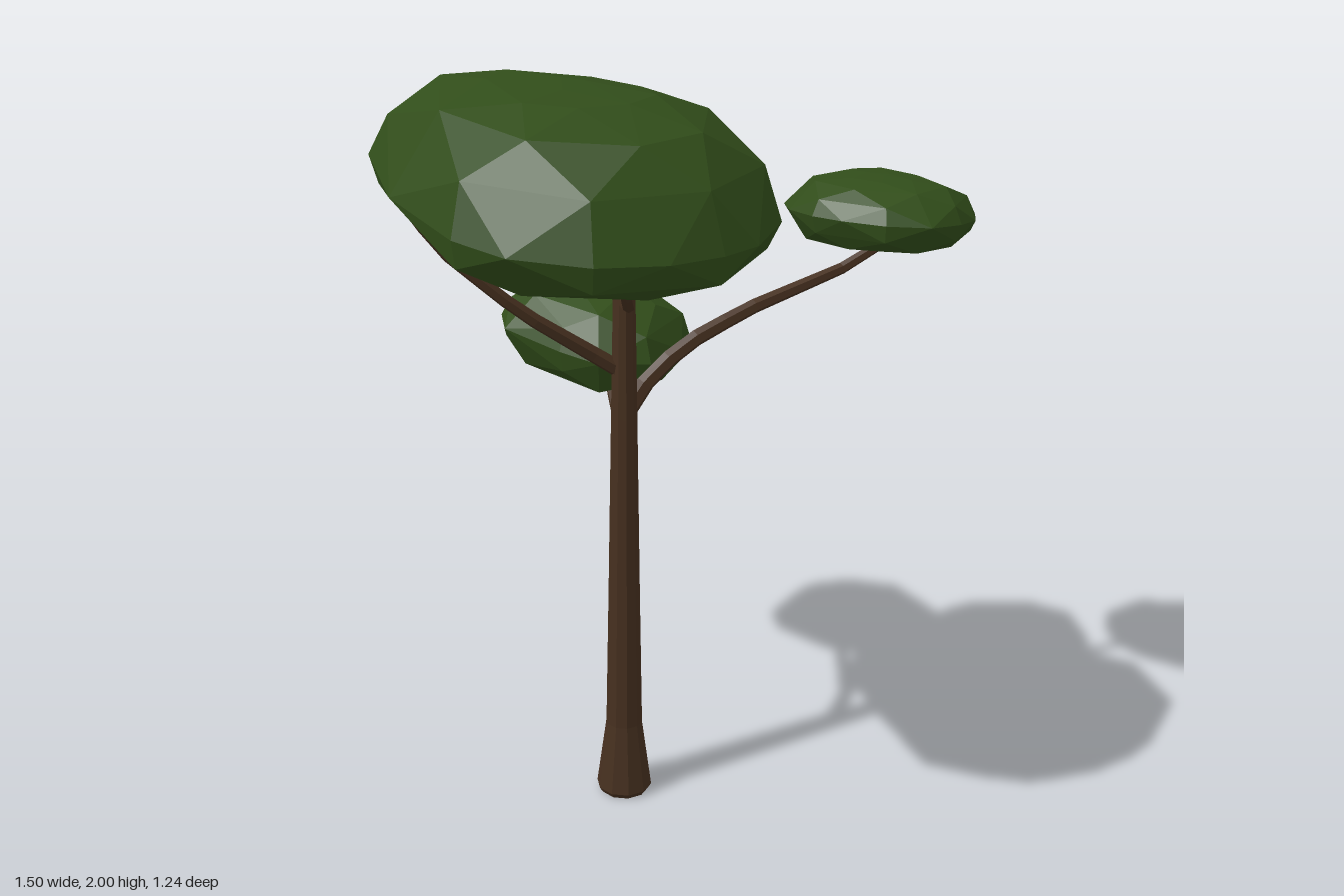
import * as THREE from 'three';
import { ConvexGeometry } from 'three/addons/geometries/ConvexGeometry.js';

const bark = new THREE.MeshStandardMaterial({ color: 0x46301f, flatShading: true });
const leaf = new THREE.MeshStandardMaterial({ color: 0x314d1a, flatShading: true });

// Small seeded generator for irregular facets
function seeded(seed) {
  return () => (seed = (seed * 16807) % 2147483647) / 2147483647;
}

// Faceted leaf mass: rings of the plan outline, shrunk and stacked on a tilted plane
function canopy(name, { outline, center, y, slope, top, bottom, seed }) {
  const rand = seeded(seed);
  const [cx, cz] = center;
  const rings = [ // scale of outline, height as share of top (+) or bottom (-)
    [1, 0], [0.92, 0.47], [0.7, 0.8], [0.4, 0.96], [0.12, 1],
    [0.96, -0.5], [0.78, -0.87], [0.42, -1],
  ];
  const points = [];
  rings.forEach(([s, h], r) => {
    const tilt = 1 - 0.5 * Math.max(h, 0); // the crown levels out towards its top
    outline.forEach(([x, z], i) => {
      if (r > 0 && (i + r) % 2) return; // inner rings use every other corner
      const k = r === 0 ? 1 : s * (0.97 + 0.05 * rand());
      const dx = (x - cx) * k, dz = (z - cz) * k;
      const lift = h * (h > 0 ? top : bottom) * (0.97 + 0.04 * rand());
      points.push(new THREE.Vector3(
        cx + dx, y + tilt * (slope[0] * dx + slope[1] * dz) + lift, cz + dz));
    });
  });
  const mesh = new THREE.Mesh(new ConvexGeometry(points), leaf);
  mesh.name = name;
  return mesh;
}

// Tapered branch: a tube whose rings shrink towards the tip
function branch(name, path, r0, r1) {
  const curve = new THREE.CatmullRomCurve3(path.map((p) => new THREE.Vector3(...p)), false, 'catmullrom', 0.05);
  const steps = (path.length - 1) * 2, sides = 6;
  const geo = new THREE.TubeGeometry(curve, steps, 1, sides);
  const pos = geo.attributes.position, v = new THREE.Vector3();
  for (let i = 0; i < pos.count; i++) {
    const t = Math.floor(i / (sides + 1)) / steps;
    const c = curve.getPointAt(t);
    v.fromBufferAttribute(pos, i).sub(c).multiplyScalar(r0 + (r1 - r0) * t).add(c);
    pos.setXYZ(i, v.x, v.y, v.z);
  }
  geo.computeVertexNormals();
  const mesh = new THREE.Mesh(geo, bark);
  mesh.name = name;
  return mesh;
}

export function createModel() {
  const tree = new THREE.Group();
  tree.name = 'tree';

  // Trunk with flared foot
  const profile = [[0, 0], [0.066, 0], [0.075, 0.015], [0.049, 0.21], [0.042, 0.6],
    [0.034, 1.1], [0.028, 1.45], [0.024, 1.7], [0, 1.72]];
  const trunk = new THREE.Mesh(
    new THREE.LatheGeometry(profile.map(([r, h]) => new THREE.Vector2(r, h)), 10), bark);
  trunk.position.set(-0.071, 0, 0.066);
  trunk.name = 'trunk';
  tree.add(trunk);

  // Branches
  tree.add(
    branch('lowerBackBranch', [[-0.07, 0.84, 0.065], [-0.03, 0.875, 0.03], [0.05, 0.91, -0.03],
      [0.19, 0.98, -0.23], [0.3, 1.06, -0.38]], 0.022, 0.011),
    branch('frontBranch', [[-0.06, 1.11, 0.065], [-0.01, 1.19, 0.09], [0.08, 1.27, 0.13],
      [0.25, 1.345, 0.2], [0.5, 1.42, 0.3], [0.64, 1.5, 0.37]], 0.025, 0.013),
    branch('upperBackBranch', [[-0.07, 1.22, 0.06], [-0.12, 1.26, 0.03], [-0.3, 1.4, -0.06],
      [-0.46, 1.57, -0.17], [-0.53, 1.7, -0.23]], 0.023, 0.012),
    branch('upperFrontBranch', [[-0.07, 1.42, 0.065], [-0.11, 1.43, 0.1], [-0.19, 1.45, 0.2],
      [-0.31, 1.58, 0.29], [-0.35, 1.66, 0.31]], 0.018, 0.012),
  );

  // Leaf masses
  tree.add(
    canopy('largeCanopy', {
      outline: [[-0.41, -0.39], [-0.34, -0.36], [-0.2, -0.21], [-0.01, 0], [0.05, 0.17], [0.08, 0.31],
        [0.05, 0.4], [-0.04, 0.54], [-0.2, 0.61], [-0.31, 0.61], [-0.45, 0.58], [-0.6, 0.5],
        [-0.72, 0.36], [-0.75, 0.22], [-0.7, -0.05], [-0.56, -0.3]],
      center: [-0.32, 0.14], y: 1.745, slope: [0.01, -0.13], top: 0.25, bottom: 0.135, seed: 11,
    }),
    canopy('middleCanopy', {
      outline: [[0.08, -0.3], [0.18, -0.27], [0.33, -0.13], [0.35, 0], [0.28, 0.14], [0.13, 0.245],
        [0.05, 0.25], [-0.06, 0.2], [-0.15, 0.08], [-0.18, -0.1], [-0.12, -0.22], [-0.03, -0.28]],
      center: [0.08, -0.03], y: 1.635, slope: [0.05, -0.09], top: 0.125, bottom: 0.108, seed: 23,
    }),
    canopy('frontCanopy', {
      outline: [[0.43, 0.155], [0.54, 0.12], [0.68, 0.15], [0.75, 0.24], [0.75, 0.36], [0.735, 0.54],
        [0.65, 0.6], [0.56, 0.62], [0.45, 0.61], [0.37, 0.53], [0.335, 0.42], [0.33, 0.33], [0.36, 0.23]],
      center: [0.54, 0.37], y: 1.578, slope: [-0.1, 0.04], top: 0.1, bottom: 0.088, seed: 37,
    }),
    canopy('backCanopy', {
      outline: [[0.18, -0.615], [0.31, -0.62], [0.42, -0.56], [0.48, -0.43], [0.49, -0.36], [0.43, -0.17],
        [0.34, -0.12], [0.2, -0.1], [0.08, -0.18], [0.05, -0.3], [0.03, -0.5], [0.09, -0.58]],
      center: [0.26, -0.36], y: 1.16, slope: [0, -0.12], top: 0.13, bottom: 0.12, seed: 53,
    }),
  );
  return tree;
}
